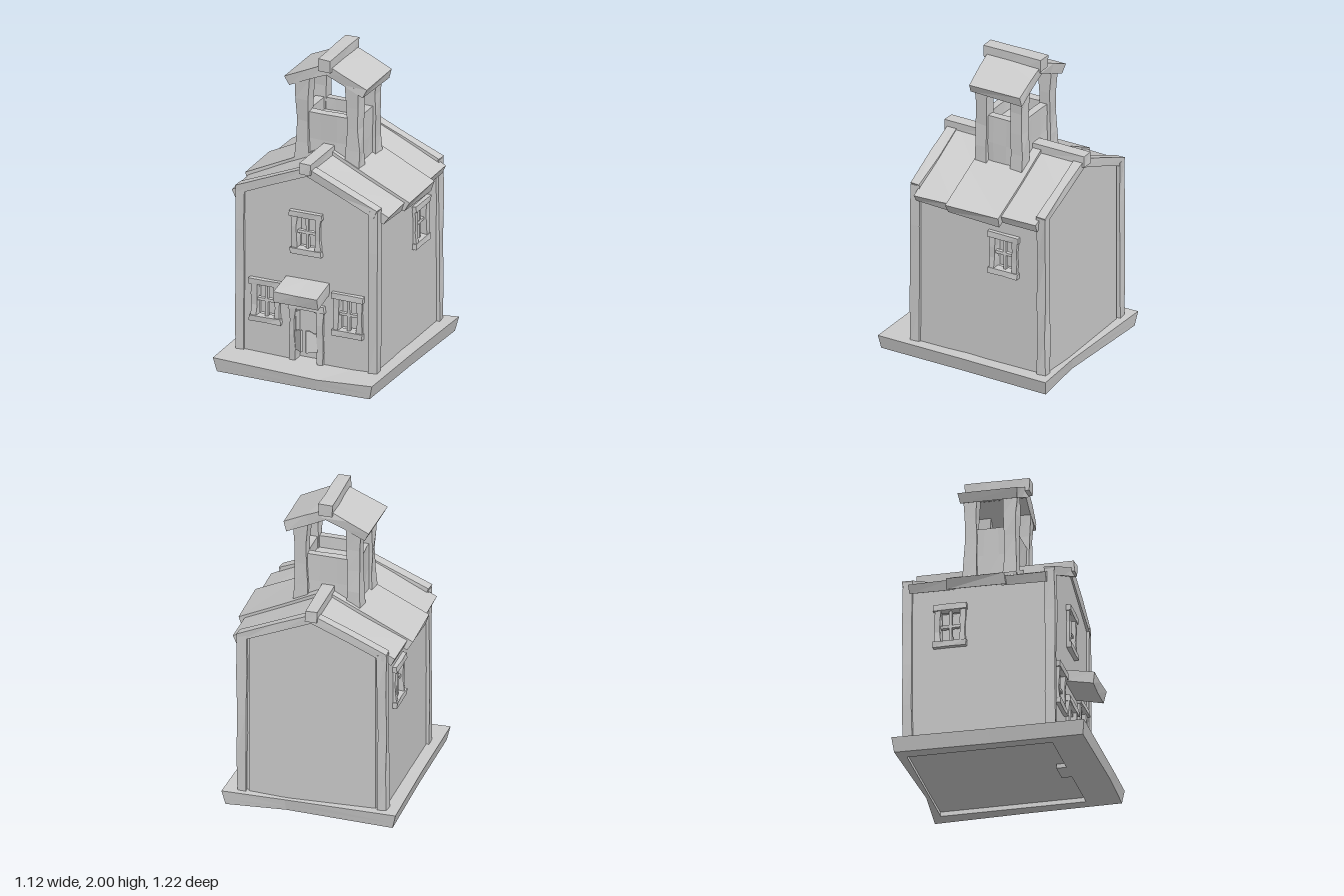
import * as THREE from 'three';

const mat = new THREE.MeshStandardMaterial({ color: 0xcccccc, flatShading: true, side: THREE.DoubleSide });

// seeded value in -1..1
let seed = 7;
const rnd = () => {
  seed = (seed * 16807) % 2147483647;
  return (seed / 2147483647) * 2 - 1;
};

function add(parent, name, geo) {
  const mesh = new THREE.Mesh(geo, mat);
  mesh.name = name;
  parent.add(mesh);
  return mesh;
}

// box with hand-carved, slightly uneven corners
function carvedBox(w, h, d, wobble = 0.006, segs = [1, 1, 1], pinch = 0) {
  const geo = new THREE.BoxGeometry(w, h, d, ...segs);
  const p = geo.attributes.position, shifts = {};
  for (let i = 0; i < p.count; i++) {
    const x = p.getX(i), y = p.getY(i), z = p.getZ(i);
    const key = [x, y, z].map((v) => Math.round(v * 1000)).join();
    const s = (shifts[key] ??= [rnd() * wobble, rnd() * wobble * 0.5, rnd() * wobble]);
    const k = 1 - pinch * (1 - (2 * y / h) ** 2);
    p.setXYZ(i, x * k + s[0], y + s[1], z * k + s[2]);
  }
  geo.computeVertexNormals();
  return geo;
}

// carved box given by its limits
function block(parent, name, [x0, x1], [y0, y1], [z0, z1], wobble, segs, pinch) {
  const mesh = add(parent, name, carvedBox(x1 - x0, y1 - y0, z1 - z0, wobble, segs, pinch));
  mesh.position.set((x0 + x1) / 2, (y0 + y1) / 2, (z0 + z1) / 2);
}

// pair of sloping slabs meeting at a ridge
function gableSlabs(parent, name, ridgeY, eaveX, eaveY, t, z0, z1, wobble = 0.007) {
  const len = Math.hypot(eaveX, ridgeY - eaveY), a = Math.atan2(ridgeY - eaveY, eaveX);
  for (const s of [-1, 1]) {
    const m = add(parent, name, carvedBox(len, t, z1 - z0, wobble, [2, 1, 1]));
    m.position.set(s * (eaveX / 2 - Math.sin(a) * t / 2), (ridgeY + eaveY) / 2 - Math.cos(a) * t / 2, (z0 + z1) / 2);
    m.rotation.z = -s * a;
  }
}

const points = (pts) => pts.map(([x, y]) => new THREE.Vector2(x, y));
const poly = (pts) => new THREE.Shape(points(pts));
const hole = (pts) => new THREE.Path(points(pts));
const rectHole = (cx, cy, w, h) => hole([[-1, -1], [-1, 1], [1, 1], [1, -1]]
  .map(([a, b]) => [cx + a * w / 2, cy + b * h / 2]));
const extrude = (shape, depth) => new THREE.ExtrudeGeometry(shape, { depth, bevelEnabled: false });

// framed window facing +z, centred on its opening
function makeWindow(name) {
  const g = new THREE.Group();
  g.name = name;
  block(g, 'windowHeader', [-0.108, 0.108], [0.105, 0.143], [-0.03, 0.028], 0.004, [2, 1, 1]);
  block(g, 'windowSill', [-0.105, 0.105], [-0.142, -0.105], [-0.03, 0.028], 0.004, [2, 1, 1]);
  for (const s of [-1, 1]) {
    const c = s * 0.079;
    block(g, 'windowJamb', [c - 0.019, c + 0.019], [-0.108, 0.108], [-0.03, 0.02], 0.005, [1, 3, 1], 0.1);
  }
  block(g, 'mullion', [-0.009, 0.009], [-0.11, 0.11], [-0.025, 0.002], 0.002);
  block(g, 'glazingBar', [-0.066, 0.066], [-0.008, 0.01], [-0.025, 0.002], 0.002);
  return g;
}

function makeBase(root) {
  const outline = [[-0.538, -0.6], [0.17, -0.61], [0.538, -0.598], [0.545, 0], [0.563, 0.612], [0.17, 0.575], [-0.553, 0.612], [-0.54, 0]];
  const plinth = (name, y0, y1, opening) => {
    const shape = poly(outline);
    if (opening) shape.holes.push(opening);
    const geo = extrude(shape, y1 - y0).rotateX(-Math.PI / 2).translate(0, y0, 0);
    const p = geo.attributes.position;
    // flare the sides outwards and lift the corners
    for (let i = 0; i < p.count; i++) {
      const x = p.getX(i), y = p.getY(i);
      p.setXYZ(i, x * (0.96 + 0.5 * y), y * (0.9 + 0.85 * x * x), p.getZ(i) * (0.98 + 0.25 * y));
    }
    geo.computeVertexNormals();
    add(root, name, geo);
  };
  // underside recess follows the walls and the doorway niche
  plinth('baseRim', 0, 0.03, hole([[-0.46, -0.385], [-0.46, 0.55], [0.46, 0.55], [0.46, -0.385],
    [0.075, -0.385], [0.075, -0.32], [-0.075, -0.32], [-0.075, -0.385]]));
  plinth('baseFloor', 0.03, 0.08);
}

function makeWalls(root) {
  const gable = (x) => [[-x, 0.06], [x, 0.06], [x, 1.34 - 0.456 * x], [0, 1.34], [-x, 1.34 - 0.456 * x]];
  const front = poly(gable(0.46));
  front.holes.push(rectHole(0, 0.94, 0.13, 0.22), rectHole(-0.275, 0.44, 0.13, 0.22), rectHole(0.28, 0.44, 0.13, 0.22));
  front.holes.push(hole([[-0.075, 0.065], [-0.075, 0.4], [0, 0.435], [0.08, 0.4], [0.08, 0.065]]));
  add(root, 'frontWall', extrude(front, 0.06).translate(0, 0, 0.325));
  // solid core closes the window and door niches and forms the back wall
  add(root, 'body', extrude(poly(gable(0.405)), 0.87).translate(0, 0, -0.545));
  for (const s of [-1, 1]) {
    const side = poly([[-0.37, 0.06], [0.53, 0.06], [0.53, 1.14], [-0.37, 1.14]]);
    side.holes.push(rectHole(0.26, 0.845, 0.13, 0.22));
    add(root, 'sideWall', extrude(side, 0.055).rotateY(Math.PI / 2).translate(s > 0 ? 0.405 : -0.46, 0, 0));
    const win = makeWindow('sideWindow');
    win.position.set(s * 0.46, 0.845, -0.26);
    win.rotation.y = s * Math.PI / 2;
    root.add(win);
    for (const z of [0.37, -0.53]) {
      block(root, 'cornerPost', [s * 0.45 - 0.03, s * 0.45 + 0.03], [0.06, 1.165], [z - 0.031, z + 0.031], 0.005, [1, 4, 1]);
    }
  }
  for (const [x, y] of [[0, 0.94], [-0.275, 0.44], [0.28, 0.44]]) {
    const win = makeWindow('frontWindow');
    win.position.set(x, y, 0.385);
    root.add(win);
  }
}

function makeEntrance(root) {
  block(root, 'doorHeader', [-0.12, 0.125], [0.43, 0.47], [0.36, 0.412], 0.004, [2, 1, 1]);
  for (const s of [-1, 1]) {
    block(root, 'doorJamb', [s * 0.095 - 0.022, s * 0.095 + 0.022], [0.07, 0.435], [0.35, 0.405], 0.006, [1, 4, 1], 0.08);
    // swing door leaf, ajar, hinged at the jamb
    const leaf = poly([[0, 0], [0.075, 0], [0.075, 0.145], [0.045, 0.142], [0.02, 0.122], [0, 0.12]]);
    const m = add(root, 'swingDoor', extrude(leaf, 0.016).translate(0, 0, -0.008));
    m.position.set(s * 0.074, 0.16, 0.392);
    m.rotation.y = s < 0 ? -0.65 : Math.PI + 0.65;
  }
  const awning = add(root, 'awning', carvedBox(0.29, 0.076, 0.19, 0.005, [2, 1, 1]));
  awning.position.set(0.006, 0.573, 0.474);
  awning.rotation.x = 0.2;
}

function makeRoof(root) {
  gableSlabs(root, 'roofPanel', 1.375, 0.53, 1.122, 0.06, 0.07, 0.35);
  gableSlabs(root, 'middleRoofPanel', 1.395, 0.56, 1.13, 0.072, -0.268, 0.1);
  gableSlabs(root, 'roofPanel', 1.375, 0.525, 1.13, 0.06, -0.515, -0.24);
  gableSlabs(root, 'gableTrim', 1.38, 0.48, 1.175, 0.055, 0.335, 0.4, 0.005);
  gableSlabs(root, 'gableTrim', 1.38, 0.48, 1.175, 0.055, -0.56, -0.5, 0.005);
  block(root, 'ridgeBeam', [-0.038, 0.038], [1.338, 1.41], [-0.578, 0.418], 0.004, [1, 1, 3]);
}

function makeBelfry(root) {
  const g = new THREE.Group();
  g.name = 'belfry';
  g.position.z = -0.07;
  root.add(g);
  for (const s of [-1, 1]) {
    for (const z of [-0.126, 0.126]) {
      block(g, 'belfryPost', [s * 0.171 - 0.048, s * 0.171 + 0.048], [1.26, 1.83], [z - 0.046, z + 0.046], 0.006, [1, 4, 1], 0.16);
    }
    block(g, 'belfrySidePanel', [s * 0.165 - 0.027, s * 0.165 + 0.027], [1.25, 1.61], [-0.13, 0.13], 0.006, [1, 2, 3]);
    block(g, 'belfryEndPanel', [-0.165, 0.165], [1.25, 1.608], [s * 0.12 - 0.024, s * 0.12 + 0.024], 0.006, [3, 2, 1]);
  }
  block(g, 'belfryFloor', [-0.15, 0.15], [1.49, 1.53], [-0.11, 0.11], 0.003);
  gableSlabs(g, 'belfryRoofPanel', 1.958, 0.276, 1.833, 0.066, -0.185, 0.18);
  block(g, 'belfryRidgeBeam', [-0.043, 0.043], [1.915, 1.997], [-0.2, 0.208], 0.004, [1, 1, 3]);
}

export function createModel() {
  seed = 7;
  const root = new THREE.Group();
  root.name = 'schoolhouse';
  makeBase(root);
  makeWalls(root);
  makeEntrance(root);
  makeRoof(root);
  makeBelfry(root);
  return root;
}
